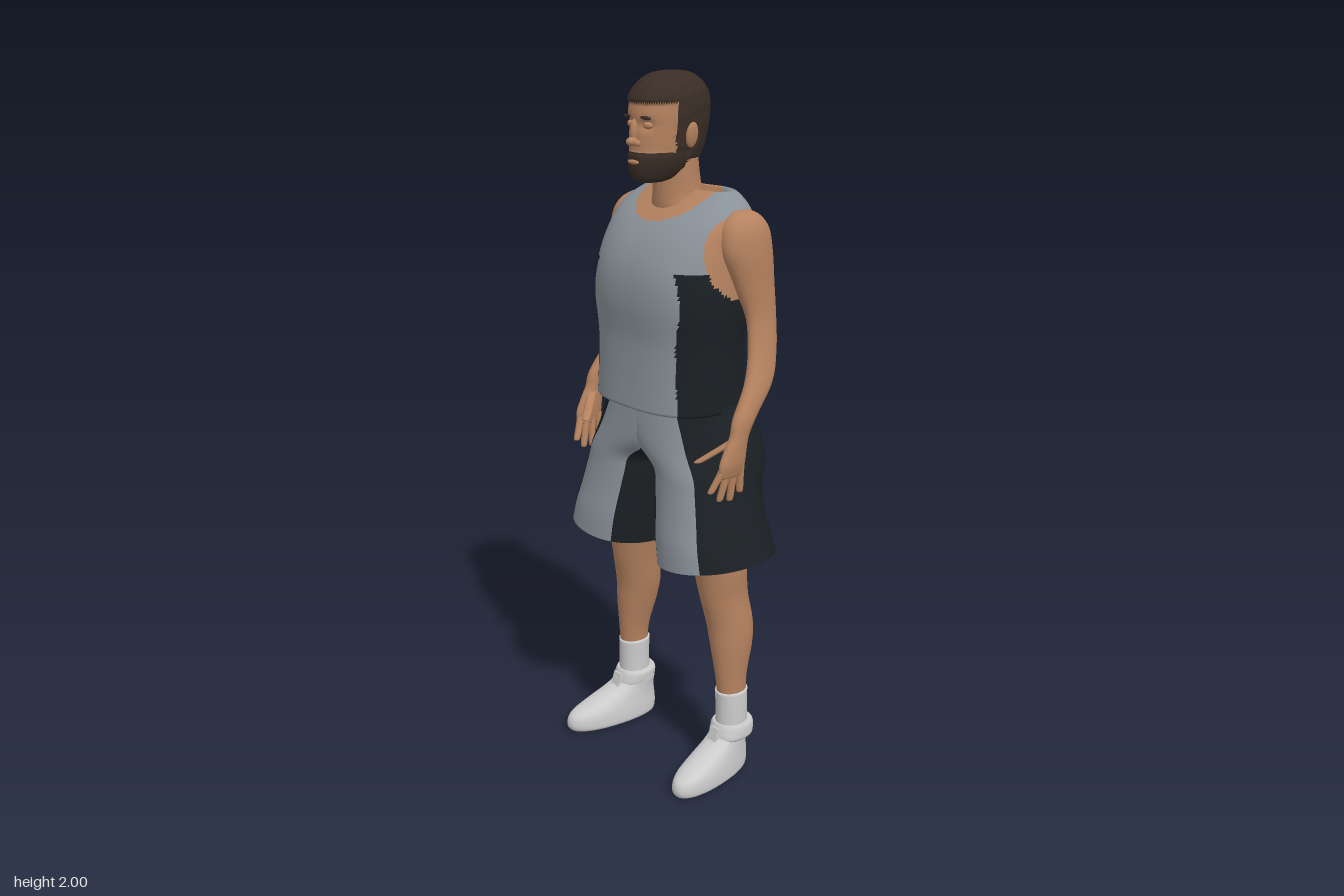
import * as THREE from 'three';

const colors = { Skin: 0xb5825f, Hair: 0x3a2d26, Cloth: 0x8a9299, Dark: 0x1b2024, White: 0xcccccc };
const materials = {};
for (const k in colors) materials[k] = new THREE.MeshStandardMaterial({ color: colors[k], side: THREE.DoubleSide });

const spline = (a, b, c, d, t) =>
  0.5 * (2 * b + (c - a) * t + (2 * a - 5 * b + 4 * c - d) * t * t + (3 * b - a - 3 * c + d) * t * t * t);
const sym = (y, rx, zb, zf) => [y, -rx, rx, zb, zf];

// Lofts horizontal rings [y, xMin, xMax, zBack, zFront], listed bottom to top.
// paint(point, angle) names the colour of each face (null leaves a hole); side -1 mirrors.
function loft(parent, name, rings, { paint = () => 'Skin', deform, side = 1, n = 2, open = false, seg = 28, sub = 5 } = {}) {
  const pts = [], rows = (rings.length - 1) * sub + 1, at = i => rings[Math.min(Math.max(i, 0), rings.length - 1)];
  for (let r = 0; r < rows; r++) {
    const i = Math.min(Math.floor(r / sub), rings.length - 2), t = r / sub - i;
    const [y, x0, x1, zb, zf] = rings[0].map((_, k) => spline(at(i - 1)[k], at(i)[k], at(i + 1)[k], at(i + 2)[k], t));
    for (let j = 0; j < seg; j++) {
      const a = j / seg * Math.PI * 2, c = Math.cos(a), s = Math.sin(a);
      const p = new THREE.Vector3(
        (x0 + x1) / 2 + (x1 - x0) / 2 * Math.sign(c) * Math.abs(c) ** (2 / n), y,
        (zb + zf) / 2 + (zf - zb) / 2 * Math.sign(s) * Math.abs(s) ** (2 / n));
      if (deform) deform(p);
      pts.push(p);
    }
  }
  const groups = {}, all = [];
  const face = (a, b, c, angle) => {
    const mid = pts[a].clone().add(pts[b]).add(pts[c]).divideScalar(3);
    const key = paint(mid, angle);
    if (!key) return;
    const f = side > 0 ? [a, b, c] : [a, c, b];
    (groups[key] ??= []).push(...f);
    all.push(...f);
  };
  for (let r = 0; r < rows - 1; r++) for (let j = 0; j < seg; j++) {
    const k = (j + 1) % seg, a = r * seg + j, b = r * seg + k, ang = (j + 0.5) / seg * 360;
    face(a, a + seg, b, ang);
    face(b, a + seg, b + seg, ang);
  }
  if (!open) for (const r of [0, rows - 1]) {
    const mid = new THREE.Vector3();
    for (let j = 0; j < seg; j++) mid.addScaledVector(pts[r * seg + j], 1 / seg);
    const m = pts.push(mid) - 1;
    for (let j = 0; j < seg; j++) {
      const a = r * seg + j, b = r * seg + (j + 1) % seg;
      r ? face(a, m, b, 0) : face(a, b, m, 0);
    }
  }
  pts.forEach(p => { p.x *= side; });
  const whole = new THREE.BufferGeometry().setFromPoints(pts);
  whole.setIndex(all);
  whole.computeVertexNormals();
  for (const key in groups) {
    const g = new THREE.BufferGeometry();
    g.setAttribute('position', whole.attributes.position);
    g.setAttribute('normal', whole.attributes.normal);
    g.setIndex(groups[key]);
    const mesh = new THREE.Mesh(g, materials[key]);
    mesh.name = name + key;
    parent.add(mesh);
  }
}

function ball(parent, name, key, pos, scale, tilt = 0) {
  const m = new THREE.Mesh(new THREE.SphereGeometry(1, 20, 14), materials[key]);
  m.name = name;
  m.position.set(...pos);
  m.scale.set(...scale);
  m.rotation.z = tilt;
  parent.add(m);
}

function buildTorso(g) {
  loft(g, 'torso', [
    sym(1.11, .225, -.16, .165), sym(1.2, .222, -.155, .16), sym(1.3, .225, -.152, .157), sym(1.4, .233, -.17, .165),
    sym(1.48, .23, -.183, .158), sym(1.55, .226, -.185, .13), sym(1.61, .222, -.178, .085), sym(1.65, .208, -.16, .035),
    sym(1.683, .165, -.142, -.015), sym(1.69, .137, -.13, -.03), sym(1.668, .1, -.12, -.02), sym(1.65, .05, -.09, .0)],
  {
    n: 2.5, seg: 144, sub: 8,
    // spine groove
    deform: p => { if (p.z < -.05) p.z += .016 * Math.exp(-((p.x / .05) ** 2)); },
    paint: p => {
      const x = Math.abs(p.x);
      if (p.y > 1.59 && (x / .125) ** 2 + ((p.z + .03) / .112) ** 2 < 1) return 'Skin';
      if (x > .15 && ((p.z + .045) / .11) ** 2 + ((p.y - 1.53) / .11) ** 2 < 1) return 'Skin';
      return x > .12 && p.y < 1.5 && Math.abs(p.z) < .125 ? 'Dark' : 'Cloth';
    }
  });
  loft(g, 'neck', [sym(1.61, .1, -.13, .04), sym(1.65, .08, -.118, .045), sym(1.69, .064, -.092, .046), sym(1.8, .06, -.075, .05)]);
}

function buildHead(g) {
  // hairline, sideburns and beard
  const isHair = p => p.y > 1.925 || p.y < 1.797 && p.z > 0 ||
    p.z < .045 && p.y > 1.775 - Math.min(0, p.z) * .05;
  loft(g, 'head', [
    sym(1.722, .03, .03, .105), sym(1.735, .046, -.02, .122), sym(1.77, .064, -.07, .129), sym(1.81, .072, -.092, .126),
    sym(1.86, .077, -.104, .125), sym(1.9, .079, -.108, .126), sym(1.935, .077, -.104, .117), sym(1.965, .063, -.085, .092),
    sym(1.985, .04, -.055, .06), sym(1.991, .015, -.02, .025)],
  {
    n: 2.2, seg: 96, sub: 7,
    deform: p => {
      if (isHair(p)) {
        const grow = p.y < 1.81 && p.z > 0 ? 1.03 : 1.065 + .012 * Math.sin(p.x * 190 + p.z * 60) * Math.sin(p.z * 130 + p.y * 150);
        p.set(p.x * grow, 1.87 + (p.y - 1.87) * Math.min(grow, 1.07), p.z * grow);
      } else if (p.z > .05) // eye sockets
        p.z -= .012 * Math.exp(-(((Math.abs(p.x) - .032) / .018) ** 2) - ((p.y - 1.868) / .014) ** 2);
    },
    paint: p => isHair(p) ? 'Hair' : 'Skin'
  });
  ball(g, 'noseBridge', 'Skin', [0, 1.852, .124], [.01, .032, .015]);
  ball(g, 'noseTip', 'Skin', [0, 1.826, .134], [.015, .012, .017]);
  ball(g, 'lips', 'Skin', [0, 1.773, .129], [.022, .007, .009]);
  for (const s of [1, -1]) {
    ball(g, 'nostril', 'Skin', [s * .012, 1.822, .124], [.009, .009, .012]);
    ball(g, 'eyelid', 'Skin', [s * .032, 1.868, .106], [.015, .01, .012]);
    ball(g, 'eyebrow', 'Hair', [s * .034, 1.888, .117], [.021, .005, .008], s * -.08);
    ball(g, 'ear', 'Skin', [s * .084, 1.84, .0], [.009, .034, .02], s * -.15);
  }
}

function buildArm(g, side) {
  loft(g, 'arm', [
    [.965, .297, .316, .015, .095], [1.0, .292, .325, .008, .098], [1.04, .29, .327, .004, .08], [1.075, .29, .328, -.003, .06],
    [1.12, .284, .329, -.03, .046], [1.2, .268, .319, -.1, -.006], [1.28, .248, .299, -.133, -.038], [1.37, .226, .282, -.147, -.048],
    [1.45, .2, .278, -.15, -.022], [1.54, .175, .277, -.15, .015], [1.6, .17, .269, -.142, .012], [1.635, .175, .25, -.12, -.01],
    [1.652, .19, .225, -.09, -.04]], { side, n: 2.1 });
  // four fingers, then the thumb
  const finger = (name, [tx, ty, tz], [bx, by, bz], r) => loft(g, name, [0, .08, .5, 1].map((t, i) => {
    const x = tx + (bx - tx) * t, z = tz + (bz - tz) * t, w = i ? r * (.8 + t * .2) : r * .35;
    return [ty + (by - ty) * t, x - w, x + w, z - w, z + w];
  }), { side, seg: 12 });
  [[.115, .925], [.086, .897], [.052, .892], [.018, .91]].forEach(([z, y], i) =>
    finger('finger', [.29 + i * .004, y, z], [.307, .99, .084 - i * .021], .0115));
  finger('thumb', [.24, 1.0, .118], [.302, 1.06, .045], .015);
}

function buildLeg(g, side) {
  loft(g, 'leg', [
    [.2, .185, .26, -.085, .0], [.3, .18, .258, -.09, .01], [.4, .157, .265, -.113, .02], [.47, .142, .264, -.118, .026],
    [.56, .13, .257, -.105, .045], [.65, .112, .262, -.1, .06], [.78, .08, .26, -.11, .085], [.95, .04, .25, -.11, .09]], { side });

  // wide shorts leg; the upper rings are cut at the middle and meet the mirrored half
  loft(g, 'shorts', [
    [.68, .04, .345, -.172, .168], [.75, .03, .328, -.162, .163], [.82, .02, .309, -.152, .15], [.89, .008, .291, -.16, .14],
    [.94, -.01, .28, -.183, .136], [1.0, -.12, .266, -.2, .133], [1.06, -.19, .25, -.187, .128], [1.13, -.225, .222, -.145, .122]],
  {
    side, open: true, n: 2.15, seg: 96, sub: 6,
    deform: p => {
      p.x = Math.max(0, p.x);
      p.y += (p.x - .19) * .13 * Math.max(0, (.8 - p.y) / .12);
    },
    paint: (p, a) => p.x < 1e-6 ? null : a < 57 || a > 306 || a > 122 && a < 236 ? 'Dark' : 'Cloth'
  });

  // sock, shoe with outturned toe, ankle collar and strap
  const white = { side, paint: () => 'White' };
  loft(g, 'sock', [[.12, .178, .263, -.092, .008], [.2, .178, .264, -.09, .008], [.262, .177, .263, -.091, .009]], white);
  loft(g, 'shoe', [
    [.0, .185, .265, -.088, .175], [.008, .168, .28, -.1, .195], [.03, .166, .282, -.104, .2], [.055, .168, .28, -.103, .185],
    [.08, .172, .276, -.1, .13], [.105, .175, .272, -.098, .065], [.13, .175, .27, -.098, .02], [.15, .18, .265, -.094, .01]],
  { ...white, n: 2.2, seg: 40, deform: p => { p.x += (p.z - .02) * .13; } });
  loft(g, 'ankleCollar', [
    [.112, .176, .27, -.1, .02], [.122, .168, .277, -.106, .026], [.15, .166, .275, -.108, .018], [.162, .172, .27, -.103, .012]],
  { ...white, n: 2.3 });
  const strap = new THREE.Mesh(new THREE.BoxGeometry(.032, .045, .012), materials.White);
  strap.name = 'shoeStrap';
  strap.position.set(side * .222, .132, .028);
  strap.rotation.x = -.3;
  g.add(strap);
}

export function createModel() {
  const model = new THREE.Group();
  model.name = 'athlete';
  const part = (name, build, side) => {
    const g = new THREE.Group();
    g.name = name;
    build(g, side);
    model.add(g);
  };
  part('upperBody', buildTorso);
  part('headGroup', buildHead);
  for (const [label, side] of [['left', 1], ['right', -1]]) {
    part(label + 'Arm', buildArm, side);
    part(label + 'Leg', buildLeg, side);
  }
  return model;
}
